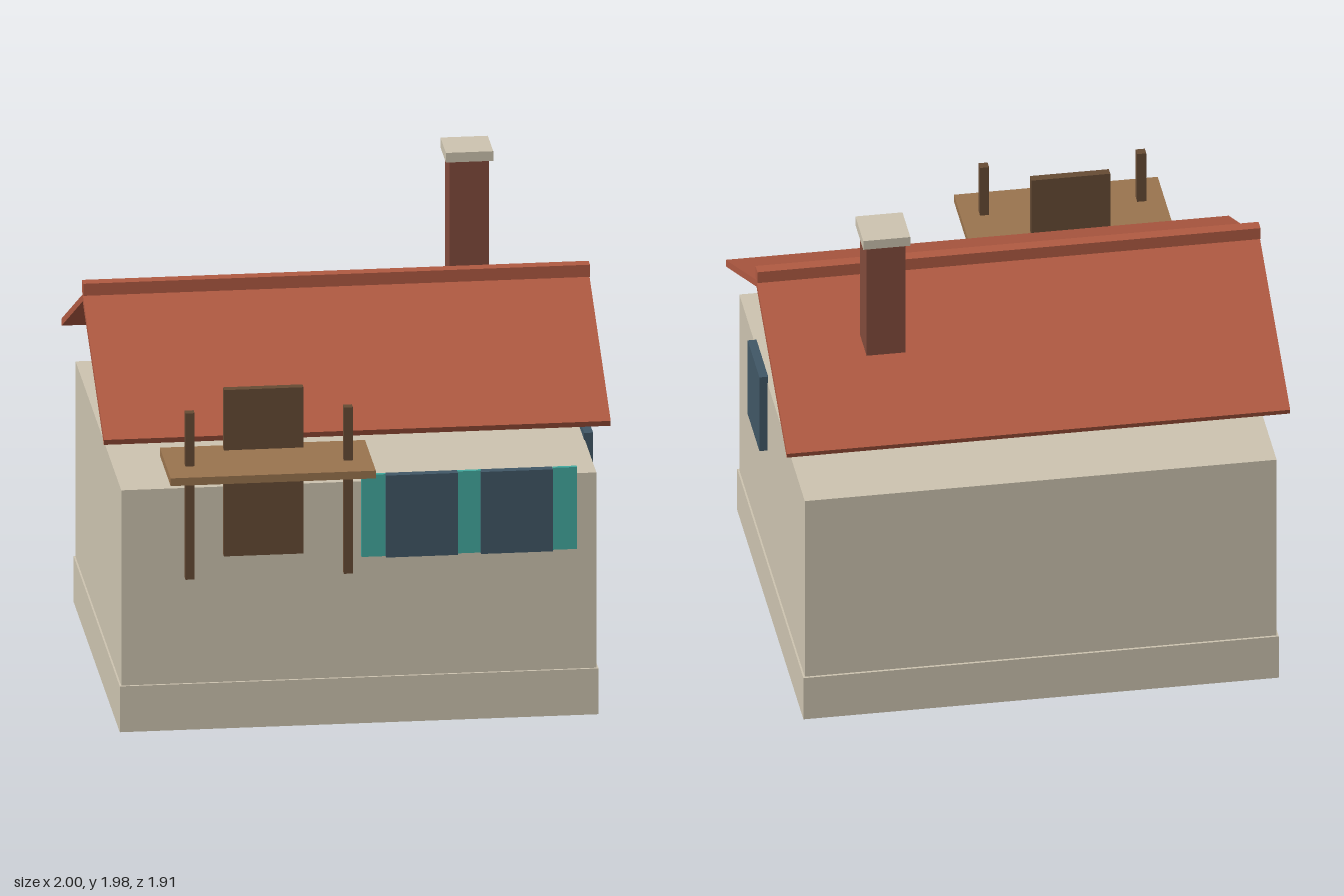
import * as THREE from 'three';

const material = (name, color) => {
  const m = new THREE.MeshStandardMaterial({ color });
  m.name = name;
  return m;
};

export function createModel() {
  const house = new THREE.Group();
  house.name = 'house';

  const plaster = material('plaster', 0xcdc4b0);
  const tile = material('roof tile', 0xb05a42);
  const brick = material('chimney brick', 0x824b3c);
  const darkWood = material('dark wood', 0x664b34);
  const lightWood = material('light wood', 0x9a744e);
  const glass = material('window glass', 0x405766);
  const teal = material('shutter paint', 0x43aa9f);

  // Axis-aligned box given by its [min, max] extents
  const block = (name, mat, [x0, x1], [y0, y1], [z0, z1]) => {
    const mesh = new THREE.Mesh(new THREE.BoxGeometry(x1 - x0, y1 - y0, z1 - z0), mat);
    mesh.position.set((x0 + x1) / 2, (y0 + y1) / 2, (z0 + z1) / 2);
    mesh.name = name;
    house.add(mesh);
    return mesh;
  };
  const around = (centre, size) => [centre - size / 2, centre + size / 2];

  const midZ = -0.165;

  // Walls on a slightly wider plinth
  block('plinth', plaster, [-0.945, 0.945], [0, 0.19], around(midZ, 1.58));
  block('walls', plaster, [-0.938, 0.938], [0.19, 1.0], around(midZ, 1.56));

  // Two sloping roof slabs meeting at the ridge
  const ridgeY = 1.534, eaveY = 1.183, run = 0.727;
  const slope = Math.atan2(ridgeY - eaveY, run);
  for (const side of [1, -1]) {
    const slab = block(side > 0 ? 'frontRoof' : 'backRoof', tile,
      [-1, 1], around((ridgeY + eaveY) / 2, 0.027),
      around(midZ + side * run / 2, Math.hypot(run, ridgeY - eaveY)));
    slab.rotation.x = side * slope;
  }
  block('ridgeCap', tile, [-1, 1], [1.55, 1.6], around(midZ, 0.048));

  // Chimney
  block('chimney', brick, around(0.56, 0.155), [1.44, 1.94], around(-0.54, 0.155));
  block('chimneyCap', plaster, around(0.56, 0.187), [1.94, 1.98], around(-0.54, 0.187));

  // Door and porch
  block('door', darkWood, [-0.536, -0.222], [0.72, 1.41], [0.61, 0.645]);
  block('porchRoof', lightWood, [-0.782, 0.028], [1.128, 1.16], [0.583, 0.955]);
  for (const x of [-0.69, -0.065])
    block('porchPost', darkWood, around(x, 0.036), [0.69, 1.38], around(0.802, 0.036));

  // Windows and shutters
  for (const x of [0.246, 0.621])
    block('frontWindow', glass, around(x, 0.283), [0.69, 1.03], [0.61, 0.645]);
  for (const x of [0.057, 0.434, 0.813])
    block('shutter', teal, around(x, 0.095), [0.69, 1.03], [0.61, 0.627]);
  block('sideWindow', glass, [0.935, 0.97], [0.69, 1.03], [-0.055, 0.225]);

  return house;
}
